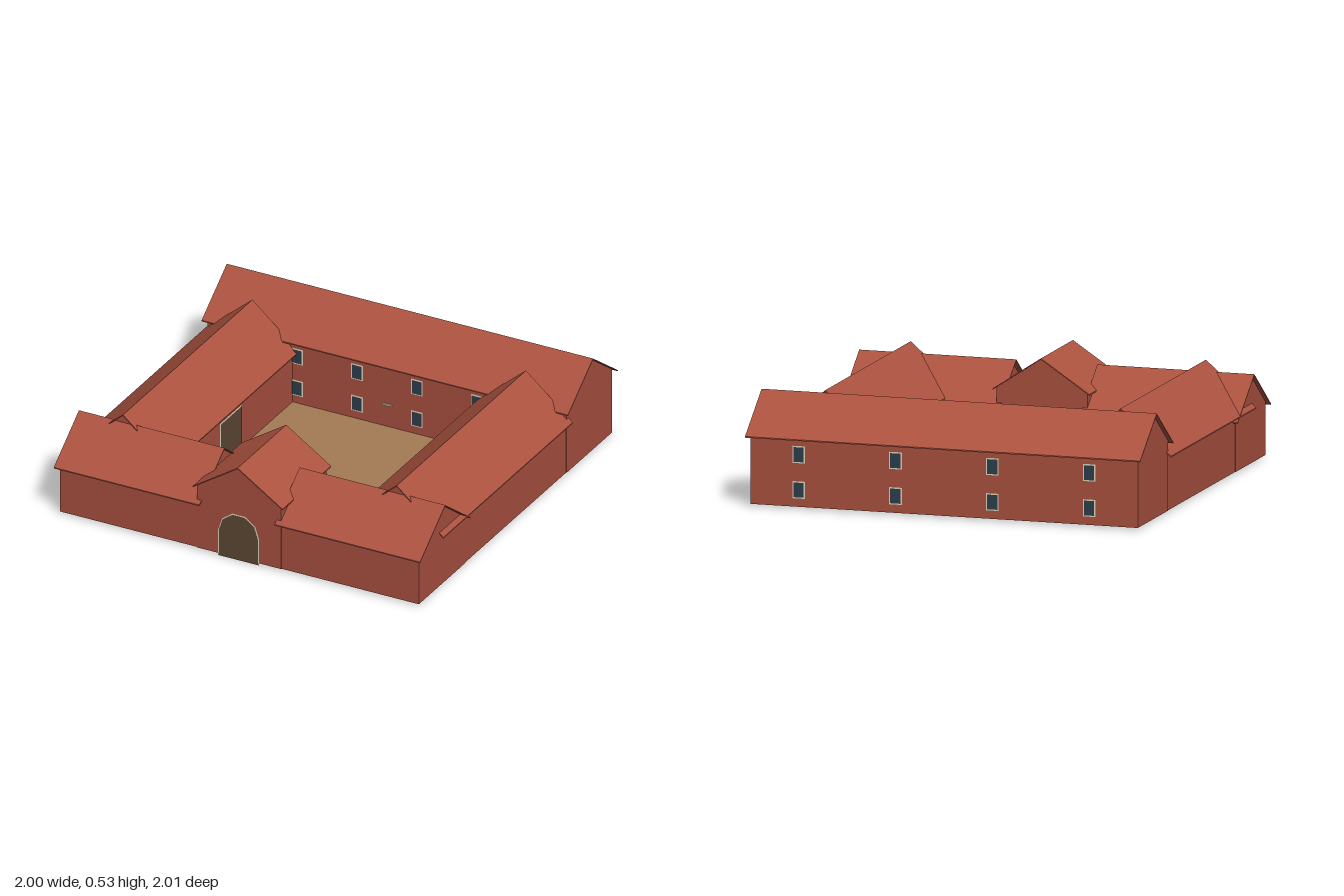
import * as THREE from 'three';

const mat = (name, color, side = THREE.DoubleSide) => {
  const m = new THREE.MeshStandardMaterial({ color, side });
  m.name = name;
  return m;
};

export function createModel() {
  const root = new THREE.Group();
  root.name = 'courtyardFarm';
  const brick = mat('brick', 0xa8503f);
  const tile = mat('roofTile', 0xad5340);
  const earth = mat('courtyardEarth', 0xa57a55);
  const wood = mat('gateWood', 0x5c4735);
  const cream = mat('creamTrim', 0xddd2b8);
  const glass = mat('windowGlass', 0x2c3e4c);
  const BASE = 0.01, ROOF_HALF = 0.255, WALL_HALF = 0.23;

  const add = (parent, name, geometry, material, x = 0, y = 0, z = 0) => {
    const mesh = new THREE.Mesh(geometry, material);
    mesh.name = name;
    mesh.position.set(x, y, z);
    parent.add(mesh);
    return mesh;
  };
  const polygon = (pts) => new THREE.Shape(pts.map(([x, y]) => new THREE.Vector2(x, y)));

  // A gabled range running along local z: open-bottomed walls and a thin pitched roof
  function range(name, { ridge, eave, wall, roof, roofHalf = ROOF_HALF, wallHalf = WALL_HALF }) {
    const g = new THREE.Group();
    g.name = name;
    const [z0, z1] = wall, t = 0.006;
    const top = ridge - (ridge - eave) * wallHalf / roofHalf - t / 2;
    const gable = new THREE.ShapeGeometry(polygon([
      [-wallHalf, BASE], [wallHalf, BASE], [wallHalf, top], [0, ridge - t / 2], [-wallHalf, top]]));
    add(g, 'gableWall', gable, brick, 0, 0, z1);
    add(g, 'gableWall', gable, brick, 0, 0, z0).rotation.y = Math.PI;
    for (const s of [-1, 1]) {
      const side = new THREE.PlaneGeometry(z1 - z0, top - BASE);
      add(g, 'longWall', side, brick, s * wallHalf, (top + BASE) / 2, (z0 + z1) / 2).rotation.y = s * Math.PI / 2;
    }
    const chevron = polygon([[-roofHalf, eave - t], [0, ridge - t], [roofHalf, eave - t],
      [roofHalf, eave], [0, ridge], [-roofHalf, eave]]);
    const slab = new THREE.ExtrudeGeometry(chevron, { depth: roof[1] - roof[0], bevelEnabled: false });
    add(g, 'roof', slab, tile, 0, 0, roof[0]);
    root.add(g);
    return g;
  }

  // Tall rear range, turned to run along x
  const back = range('backRange', { ridge: 0.53, eave: 0.343, wall: [-0.98, 0.98], roof: [-1, 1] });
  back.rotation.y = Math.PI / 2;
  back.position.z = -0.75;

  // Side ranges and the two halves of the low front range
  for (const s of [-1, 1]) {
    const label = s > 0 ? 'left' : 'right';
    const side = range(label + 'Range', { ridge: 0.5, eave: 0.282, wall: [-0.52, 0.75], roof: [-0.54, 0.77] });
    side.position.x = s * 0.747;
    const front = range(label + 'FrontRange', { ridge: 0.448, eave: 0.258, wall: [0.23, 0.98], roof: [0.205, 1] });
    front.rotation.y = s * Math.PI / 2;
    front.position.z = 0.747;
  }

  // Gatehouse crossing the front range
  range('gatehouse', { ridge: 0.51, eave: 0.348, wall: [0.519, 0.981], roof: [0.502, 0.995], roofHalf: 0.245 });

  // Courtyard floor
  add(root, 'courtyard', new THREE.PlaneGeometry(1.39, 1.39), earth, 0, BASE, 0).rotation.x = -Math.PI / 2;

  // Flat fitting: a trim plate with a smaller panel in front of it
  function fitting(name, outer, inner, panel, x, y, z, turn) {
    const g = new THREE.Group();
    g.name = name;
    add(g, 'trim', new THREE.ShapeGeometry(outer), cream, 0, 0, 0.003);
    add(g, 'panel', new THREE.ShapeGeometry(inner), panel, 0, 0, 0.006);
    g.position.set(x, y, z);
    g.rotation.y = turn;
    root.add(g);
  }
  const rect = (w, h, y = 0) => polygon([[-w / 2, y], [w / 2, y], [w / 2, y + h], [-w / 2, y + h]]);
  const arch = (r, y0) => {
    const pts = [[-r, y0], [r, y0]];
    for (let i = 0; i <= 5; i++) {
      const a = i * Math.PI / 5;
      pts.push([r * Math.cos(a), 0.14 + r * Math.sin(a)]);
    }
    return polygon(pts);
  };

  // Arched gates at both ends of the gatehouse
  fitting('frontGate', arch(0.112, 0), arch(0.107, 0.003), wood, 0, 0, 0.981, 0);
  fitting('rearGate', arch(0.112, 0), arch(0.107, 0.003), wood, 0, 0, 0.519, Math.PI);

  // Barn doors facing the courtyard
  for (const s of [-1, 1]) {
    fitting('barnDoor', rect(0.22, 0.245), rect(0.21, 0.237, 0.003), wood, s * 0.517, 0, 0.11, -s * Math.PI / 2);
  }

  // Two rows of windows on each face of the rear range
  for (const y of [0.093, 0.266]) {
    for (let i = 0; i < 4; i++) {
      const k = i - 1.5;
      const outer = rect(0.064, 0.084, -0.042), inner = rect(0.052, 0.072, -0.036);
      fitting('outerWindow', outer, inner, glass, k * 0.49, y, -0.98, Math.PI);
      fitting('courtyardWindow', outer, inner, glass, k * 0.327, y, -0.52, 0);
    }
  }

  // Small lintel on the courtyard wall
  add(root, 'lintel', new THREE.BoxGeometry(0.05, 0.008, 0.008), cream, 0, 0.13, -0.516);

  return root;
}
